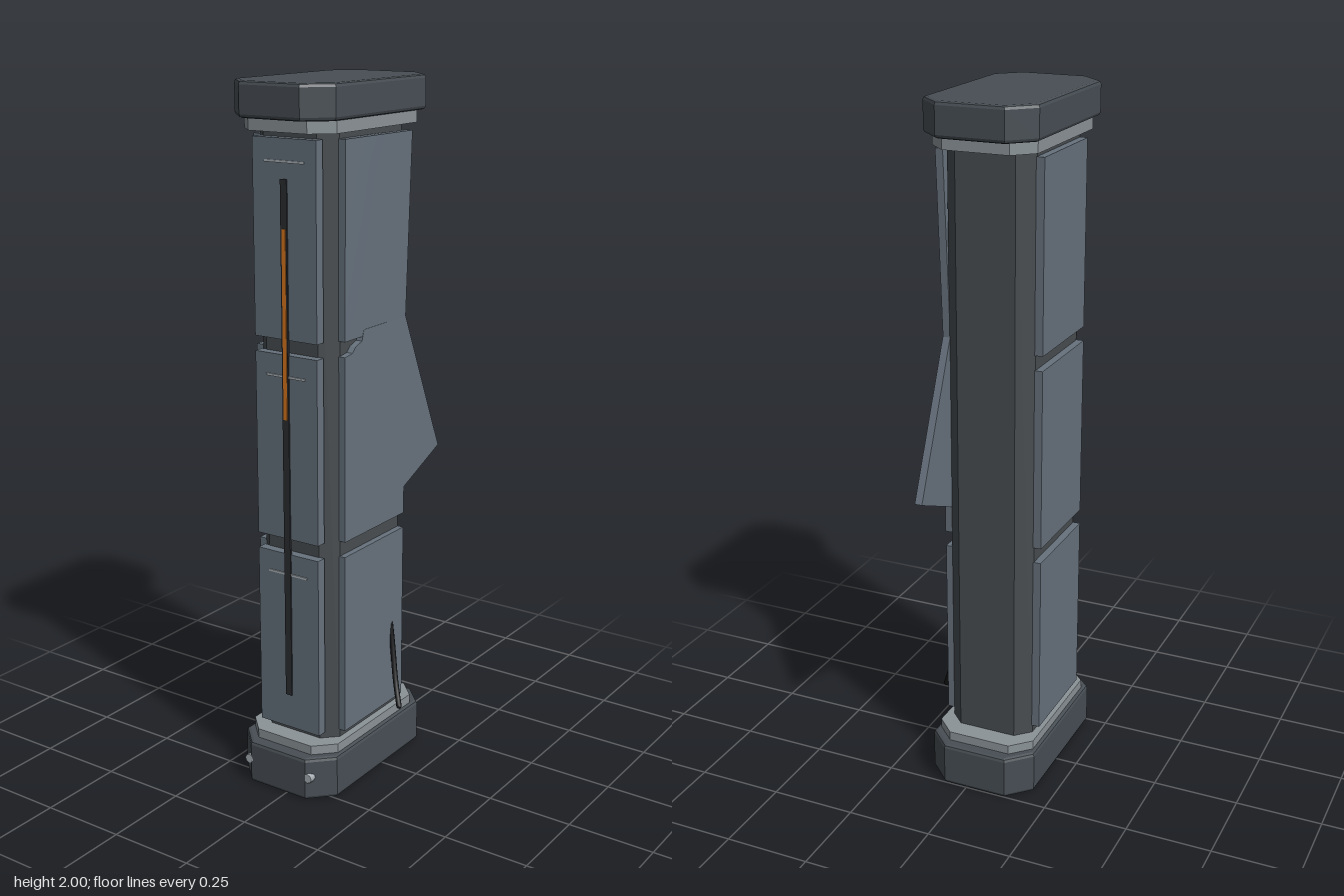
import * as THREE from 'three';

const CX = -0.027; // body axis
const CZ = 0.028;

function mat(name, color, side = THREE.FrontSide) {
  const m = new THREE.MeshStandardMaterial({ color, side });
  m.name = name;
  return m;
}

// Rectangle with cut corners
function octagon(w, d, c) {
  const x = w / 2, y = d / 2;
  return new THREE.Shape([
    [x, -y + c], [x, y - c], [x - c, y], [-x + c, y],
    [-x, y - c], [-x, -y + c], [-x + c, -y], [x - c, -y],
  ].map(([a, b]) => new THREE.Vector2(a, b)));
}

export function createModel() {
  const group = new THREE.Group();
  const capGrey = mat('cap grey', 0x474e54);
  const coreGrey = mat('core grey', 0x484d50);
  const panelGrey = mat('panel grey', 0x67727d);
  const collarGrey = mat('collar grey', 0x8b9398);
  const black = mat('cable black', 0x17181a);
  const stripDark = mat('strip dark', 0x2b2d31);
  const orange = mat('light orange', 0xd9771c);
  const pale = mat('pale metal', 0xaab2b8);

  const add = (name, geo, material, x = 0, y = 0, z = 0) => {
    const mesh = new THREE.Mesh(geo, material);
    mesh.name = name;
    mesh.position.set(x, y, z);
    group.add(mesh);
    return mesh;
  };
  const box = (name, material, w, h, d, x, y, z) =>
    add(name, new THREE.BoxGeometry(w, h, d), material, x, y, z);

  // Upright octagonal prism between two heights
  const prism = (name, material, w, d, c, y0, y1, z = CZ, bevel = 0) => {
    const geo = new THREE.ExtrudeGeometry(octagon(w, d, c), {
      depth: y1 - y0 - 2 * bevel, bevelEnabled: bevel > 0, bevelSize: bevel,
      bevelThickness: bevel, bevelOffset: -bevel, bevelSegments: 2,
    });
    geo.rotateX(-Math.PI / 2);
    return add(name, geo, material, CX, y0 + bevel, z);
  };

  // Core, end caps and collars
  prism('core', coreGrey, 0.256, 0.38, 0.042, 0.1, 1.92, 0.03);
  prism('bottomCap', capGrey, 0.324, 0.56, 0.066, 0, 0.128, CZ, 0.01);
  prism('topCap', capGrey, 0.324, 0.56, 0.066, 1.905, 2, CZ, 0.01);
  prism('bottomCollar', collarGrey, 0.298, 0.492, 0.055, 0.12, 0.155);
  prism('topCollar', collarGrey, 0.298, 0.492, 0.055, 1.872, 1.91);

  // Front and left side panels, three tiers
  const tiers = [[0.178, 0.71], [0.755, 1.28], [1.322, 1.855]];
  tiers.forEach(([y0, y1], i) => {
    const h = y1 - y0, y = (y0 + y1) / 2;
    box('frontPanel', panelGrey, 0.205, h, 0.03, CX, y, 0.232);
    box('rearSidePanel', panelGrey, 0.025, h, 0.3, -0.164, y, 0.03);
    box('panelMark', pale, 0.13, 0.006, 0.004, CX, [0.65, 1.22, 1.795][i], 0.248);
  });
  box('lowerDamagedPanel', panelGrey, 0.022, 0.532, 0.3, 0.108, 0.444, 0.03);

  // Middle panel torn out into a pointed fin (outline in z, y)
  const tear = new THREE.Shape([
    [0.18, 0.755], [0.18, 1.28], [0.145, 1.285], [0.13, 1.3], [0.1, 1.31], [0.09, 1.34],
    [-0.12, 1.34], [-0.308, 0.915], [-0.12, 0.835], [-0.12, 0.755],
  ].map(([z, y]) => new THREE.Vector2(-z, y)));
  const fin = new THREE.ExtrudeGeometry(tear, { depth: 0.022, bevelEnabled: false });
  fin.rotateY(Math.PI / 2);
  add('tornPanel', fin, panelGrey, 0.098, 0, 0);

  // Upper panel peeling outward toward its top rear corner
  const peel = new THREE.BoxGeometry(0.022, 0.533, 0.3, 1, 8, 4);
  const p = peel.attributes.position;
  for (let i = 0; i < p.count; i++) {
    const t = p.getY(i) / 0.533 + 0.5;
    const back = 0.5 - p.getZ(i) / 0.3;
    p.setX(i, p.getX(i) + 0.016 * t * (0.15 + 0.85 * back));
  }
  peel.computeVertexNormals();
  add('peeledPanel', peel, panelGrey, 0.108, 1.5885, 0.03);

  // Light strip down the front
  box('lightChannel', stripDark, 0.021, 1.47, 0.007, CX, 1.015, 0.2475);
  box('lightStrip', orange, 0.012, 0.52, 0.004, CX, 1.36, 0.2505);

  // Bolts on the front corners of the bottom cap
  for (const s of [-1, 1]) {
    const bolt = new THREE.CylinderGeometry(0.014, 0.014, 0.02, 8);
    bolt.rotateX(Math.PI / 2);
    add('bolt', bolt, pale, CX + s * 0.104, 0.07, 0.298);
  }

  // Loose cable
  const path = new THREE.CatmullRomCurve3([
    new THREE.Vector3(0.112, 0.43, -0.066), new THREE.Vector3(0.126, 0.35, -0.06),
    new THREE.Vector3(0.147, 0.26, -0.043), new THREE.Vector3(0.175, 0.19, -0.02),
  ]);
  add('cable', new THREE.TubeGeometry(path, 16, 0.008, 8), black);
  const tip = new THREE.SphereGeometry(0.008, 8, 6);
  add('cableTip', tip, black, 0.175, 0.19, -0.02);

  return group;
}
